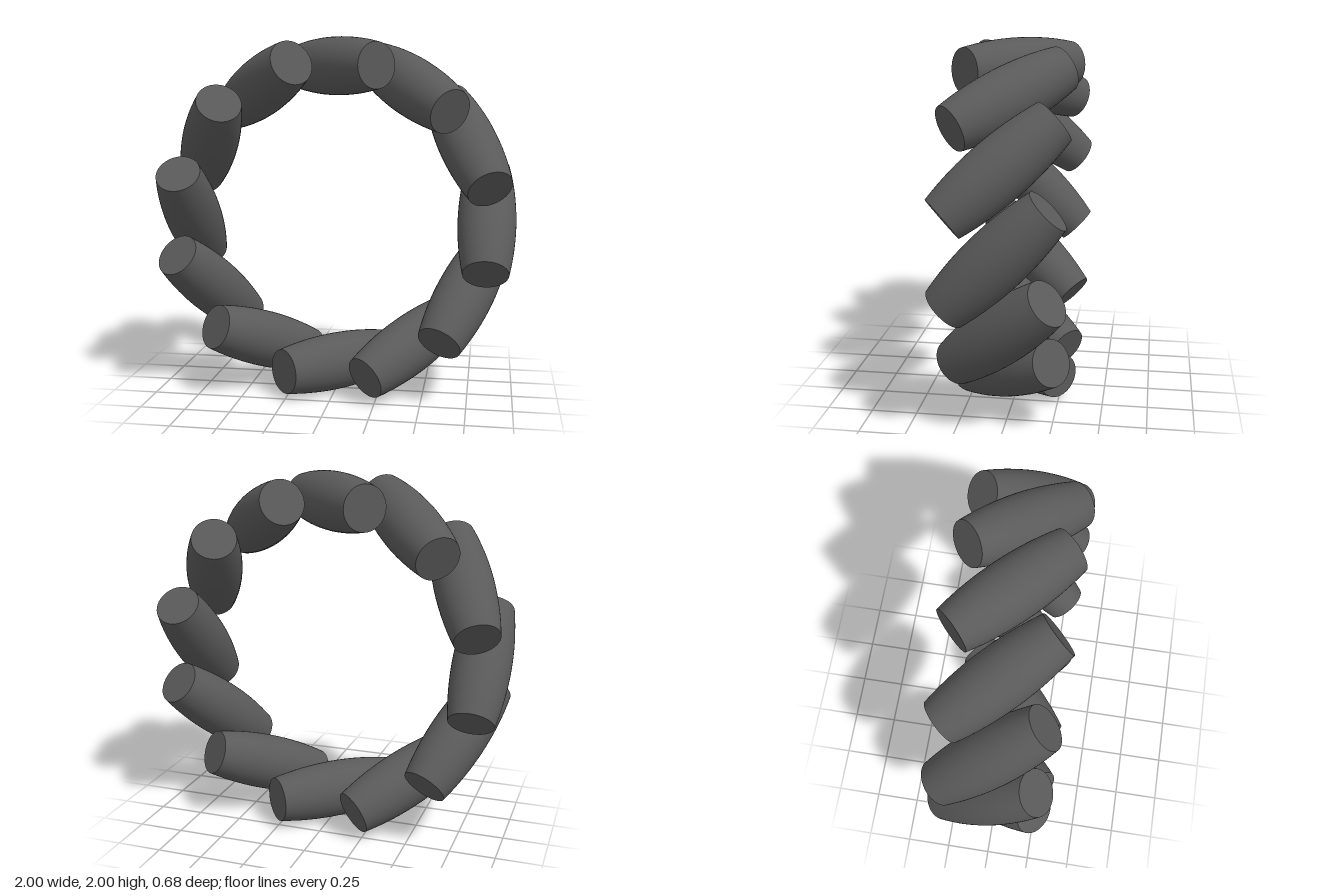
import * as THREE from 'three';
import { mergeGeometries } from 'three/addons/utils/BufferGeometryUtils.js';

const COUNT = 12, RING_RADIUS = 0.84, SKEW = Math.PI / 4;
const HALF_LENGTH = 0.36, MID_RADIUS = 0.16, END_RADIUS = 0.124, SIDES = 48;

// Barrel with a circular-arc flank and flat, sharp-edged ends, lying along its skewed axis
function rollerGeometry() {
  const crown = MID_RADIUS - END_RADIUS;
  const arcRadius = (HALF_LENGTH ** 2 + crown ** 2) / (2 * crown);
  const profile = [];
  for (let i = 0; i <= 16; i++) {
    const y = HALF_LENGTH * (i / 8 - 1);
    profile.push(new THREE.Vector2(MID_RADIUS - arcRadius + Math.sqrt(arcRadius ** 2 - y * y), y));
  }
  const flank = new THREE.LatheGeometry(profile, SIDES);
  const cap = (side) => new THREE.CircleGeometry(END_RADIUS, SIDES)
    .rotateX(-side * Math.PI / 2)
    .translate(0, side * HALF_LENGTH, 0);
  return mergeGeometries([flank, cap(1), cap(-1)])
    .rotateX(Math.PI / 2)
    .rotateY(SKEW);
}

export function createModel() {
  const model = new THREE.Group();
  model.name = 'rollerRing';
  const material = new THREE.MeshStandardMaterial({ color: 0x5a5a5a });
  const geometry = rollerGeometry();

  // Identical rollers spaced evenly round the ring
  for (let i = 0; i < COUNT; i++) {
    const angle = (i / COUNT) * Math.PI * 2;
    const roller = new THREE.Mesh(geometry, material);
    roller.name = `roller${i + 1}`;
    roller.position.set(Math.sin(angle) * RING_RADIUS, 1 + Math.cos(angle) * RING_RADIUS, 0);
    roller.rotation.z = -angle;
    model.add(roller);
  }
  return model;
}
